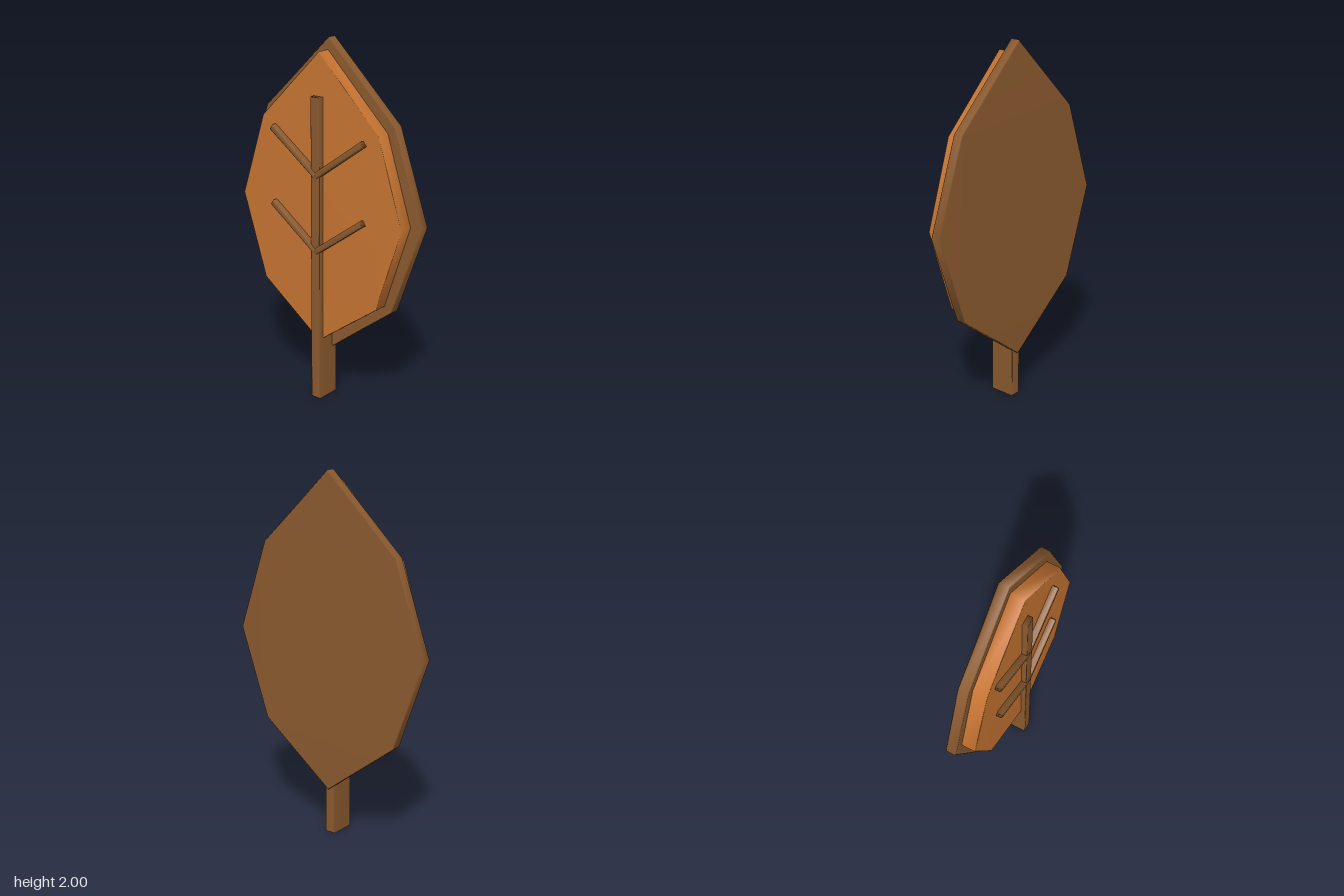
import * as THREE from 'three';
import { mergeVertices } from 'three/addons/utils/BufferGeometryUtils.js';

// Bevelled slab cut from an outline, spanning zBack to zFront, with soft shared normals
function slab(points, zBack, zFront, bevel) {
  const shape = new THREE.Shape(points.map(([x, y]) => new THREE.Vector2(x, y)));
  const geo = new THREE.ExtrudeGeometry(shape, {
    depth: zFront - zBack - 2 * bevel,
    bevelEnabled: true, bevelSegments: 1,
    bevelSize: bevel, bevelThickness: bevel, bevelOffset: -bevel,
  });
  geo.translate(0, 0, zBack + bevel);
  geo.deleteAttribute('normal');
  geo.deleteAttribute('uv');
  const soft = mergeVertices(geo, 1e-4);
  soft.computeVertexNormals();
  return soft;
}

// Mirrors the +x half of a leaf outline; first and last points lie on the axis
function leafOutline(half) {
  const mirrored = half.slice(1, -1).reverse().map(([x, y]) => [-x, y]);
  return [...half, ...mirrored].reverse();
}

const bar = (w, y0, y1) => [[-w, y0], [w, y0], [w, y1], [-w, y1]];

export function createModel() {
  const brown = new THREE.MeshStandardMaterial({ color: 0x8b5a2f });
  brown.name = 'bark brown';
  const orange = new THREE.MeshStandardMaterial({ color: 0xc87532 });
  orange.name = 'autumn orange';

  const model = new THREE.Group();
  model.name = 'leaf';
  const add = (name, geo, mat) => {
    const mesh = new THREE.Mesh(geo, mat);
    mesh.name = name;
    model.add(mesh);
    return mesh;
  };

  // Rim plate behind the blade
  add('leafRim', slab(leafOutline(
    [[0, 2], [0.43, 1.59], [0.605, 1.09], [0.43, 0.59], [0, 0.26]]), -0.087, -0.027, 0.006), brown);

  // Raised blade
  add('leafBlade', slab(leafOutline(
    [[0, 1.935], [0.387, 1.555], [0.54, 1.09], [0.387, 0.62], [0, 0.337]]), -0.03, 0.052, 0.004), orange);

  // Stem and central rib
  add('stem', slab(bar(0.03, 0, 1.705), -0.068, 0.082, 0.004), brown);

  // Paired side veins
  for (const y of [0.865, 1.285]) {
    for (const side of [1, -1]) {
      const vein = add(side > 0 ? 'leftVein' : 'rightVein',
        slab(bar(0.0165, 0, 0.375), 0.045, 0.086, 0.006), brown);
      vein.position.y = y;
      vein.rotation.z = -side * 0.945;
    }
  }
  return model;
}
